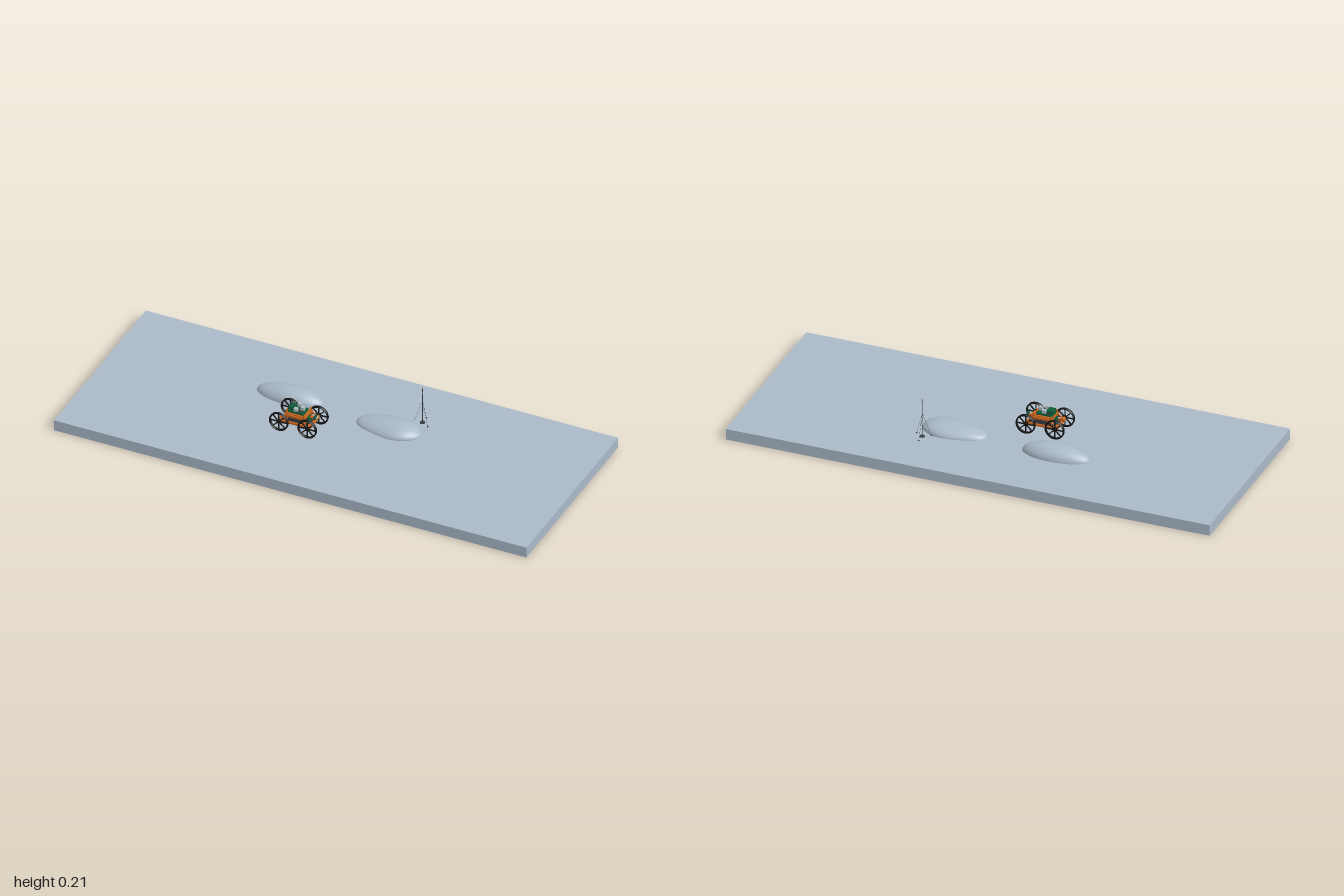
import * as THREE from 'three';

const mat = (name, color, extra = {}) =>
  Object.assign(new THREE.MeshStandardMaterial({ color, ...extra }), { name });

export function createModel() {
  const M = {
    ground: mat('ground grey blue', 0xabbac9),
    black: mat('black', 0x151515),
    orange: mat('orange', 0xc8641e),
    green: mat('board green', 0x0f5a38),
    silver: mat('silver', 0xb4bec6),
    dark: mat('dark grey', 0x3a3e42),
  };
  const root = new THREE.Group();
  root.name = 'roverDiorama';
  const G = 0.046; // ground level

  const add = (parent, name, geo, m, x = 0, y = 0, z = 0) => {
    const mesh = new THREE.Mesh(geo, m);
    mesh.name = name;
    mesh.position.set(x, y, z);
    parent.add(mesh);
    return mesh;
  };
  const box = (p, name, m, w, h, d, x, y, z) =>
    add(p, name, new THREE.BoxGeometry(w, h, d), m, x, y, z);
  // straight round bar between two points
  const bar = (p, name, m, a, b, r, sides = 8) => {
    const va = new THREE.Vector3(...a), vb = new THREE.Vector3(...b);
    const dir = vb.clone().sub(va);
    const mesh = add(p, name, new THREE.CylinderGeometry(r, r, dir.length(), sides), m);
    mesh.position.copy(va).add(vb).multiplyScalar(0.5);
    mesh.quaternion.setFromUnitVectors(new THREE.Vector3(0, 1, 0), dir.normalize());
    return mesh;
  };

  // ground slab
  box(root, 'groundSlab', M.ground, 2, G, 0.818, 0, G / 2, 0);

  // mounds: a half dome whose crest is pushed sideways and whose outline wobbles
  const mound = (name, x, z, rx, h, rz, lean, skew) => {
    const geo = new THREE.SphereGeometry(1, 48, 20, 0, Math.PI * 2, 0, Math.PI / 2);
    const p = geo.attributes.position;
    for (let i = 0; i < p.count; i++) {
      const px = p.getX(i), py = p.getY(i), pz = p.getZ(i);
      const taper = 1 + skew * px * (1 - px * px) + 0.06 * Math.sin(3 * px);
      p.setXYZ(i, (px + lean * py * (1 - px * px)) * rx, py * h, pz * taper * rz);
    }
    geo.computeVertexNormals();
    add(root, name, geo, M.ground, x, G - 0.001, z);
  };
  mound('leftMound', -0.25, -0.122, 0.14, 0.049, 0.057, 0.12, -0.1);
  mound('rightMound', 0.18, -0.094, 0.135, 0.038, 0.069, 0.22, 0.08);

  // rover, driving toward +x
  const rover = new THREE.Group();
  rover.name = 'rover';
  rover.position.set(-0.135, G, 0.047);
  root.add(rover);

  const wheel = (x, z) => {
    const g = new THREE.Group();
    g.name = 'wheel';
    g.position.set(x, 0.04, z);
    const w = 0.0045;
    const profile = [[0.035, -w], [0.04, -w], [0.04, w], [0.035, w], [0.035, -w]]
      .map(([r, y]) => new THREE.Vector2(r, y));
    add(g, 'tyre', new THREE.LatheGeometry(profile, 32), M.black).rotation.x = Math.PI / 2;
    add(g, 'hub', new THREE.CylinderGeometry(0.008, 0.008, 0.009, 16), M.black).rotation.x = Math.PI / 2;
    for (let i = 0; i < 8; i++) {
      const a = i * Math.PI / 4;
      box(g, 'spoke', M.black, 0.03, 0.0035, 0.005,
        Math.cos(a) * 0.021, Math.sin(a) * 0.021, 0).rotation.z = a;
    }
    rover.add(g);
  };

  for (const s of [-1, 1]) {
    for (const x of [-0.06, 0.06]) {
      wheel(x, s * 0.0525);
      // motor, axle and leg at each wheel
      bar(rover, 'axle', M.silver, [x, 0.04, s * 0.03], [x, 0.04, s * 0.05], 0.0045, 12);
      bar(rover, 'motor', M.orange, [x, 0.04, s * 0.024], [x, 0.04, s * 0.044], 0.008, 12);
      bar(rover, 'suspensionArm', M.orange, [x, 0.042, s * 0.036], [x * 0.6, 0.064, s * 0.034], 0.0035);
    }
    // side rails and posts
    box(rover, 'lowerRail', M.orange, 0.125, 0.008, 0.008, 0, 0.036, s * 0.036);
    box(rover, 'upperRail', M.orange, 0.085, 0.009, 0.008, 0, 0.064, s * 0.032);
    for (const x of [-0.036, 0.036])
      box(rover, 'post', M.orange, 0.006, 0.048, 0.006, x, 0.057, s * 0.032);
  }
  for (const x of [-0.06, 0.06]) {
    box(rover, 'crossBeam', M.orange, 0.01, 0.007, 0.094, x, 0.034, 0);
    box(rover, 'upperCrossBeam', M.orange, 0.007, 0.007, 0.07, x * 0.62, 0.065, 0);
  }
  // chassis plate and the body on it
  box(rover, 'chassisPlate', M.dark, 0.11, 0.004, 0.07, 0, 0.031, 0);
  box(rover, 'body', M.dark, 0.07, 0.026, 0.044, 0, 0.046, 0);
  for (const x of [-0.041, 0.041])
    box(rover, 'controlBoard', M.green, 0.01, 0.03, 0.03, x, 0.048, 0);
  box(rover, 'deck', M.orange, 0.085, 0.004, 0.058, 0, 0.07, 0);
  // top electronics
  box(rover, 'topBoard', M.green, 0.068, 0.007, 0.046, -0.004, 0.077, 0);
  for (const [x, z] of [[-0.02, -0.012], [0.008, 0.01]])
    box(rover, 'chip', M.dark, 0.018, 0.003, 0.014, x, 0.082, z);
  for (const z of [-0.018, 0, 0.018])
    box(rover, 'sensorBox', M.silver, 0.014, 0.013, 0.014, z === 0 ? 0.018 : -0.004, 0.091, z);
  box(rover, 'batteryCover', M.green, 0.026, 0.014, 0.034, -0.024, 0.087, 0);
  // forward camera
  box(rover, 'cameraMount', M.orange, 0.03, 0.005, 0.012, 0.052, 0.058, -0.006);
  box(rover, 'camera', M.green, 0.008, 0.012, 0.02, 0.068, 0.061, -0.006);
  for (const z of [-0.011, -0.001])
    bar(rover, 'cameraLens', M.silver, [0.071, 0.061, z], [0.076, 0.061, z], 0.0035, 12);

  // weather mast with three guy wires
  const mast = new THREE.Group();
  mast.name = 'mast';
  mast.position.set(0.281, G, -0.18);
  root.add(mast);
  add(mast, 'mastBase', new THREE.CylinderGeometry(0.01, 0.01, 0.004, 16), M.dark, 0, 0.002, 0);
  bar(mast, 'pole', M.dark, [0, 0, 0], [0, 0.16, 0], 0.0017);
  add(mast, 'beacon', new THREE.SphereGeometry(0.0028, 12, 8), M.orange, 0, 0.161, 0);
  bar(mast, 'crossArm', M.silver, [-0.006, 0.141, -0.009], [0.006, 0.141, 0.009], 0.001);
  box(mast, 'instrumentBox', M.silver, 0.007, 0.011, 0.006, 0, 0.061, -0.004);
  for (let i = 0; i < 3; i++) {
    const a = -Math.PI / 2 + i * Math.PI * 2 / 3;
    const x = Math.cos(a) * 0.035, z = Math.sin(a) * 0.035;
    bar(mast, 'guyWire', M.dark, [0, 0.103, 0], [x, 0, z], 0.0004, 5);
    box(mast, 'anchor', M.dark, 0.004, 0.003, 0.004, x, 0.0015, z);
  }
  return root;
}
